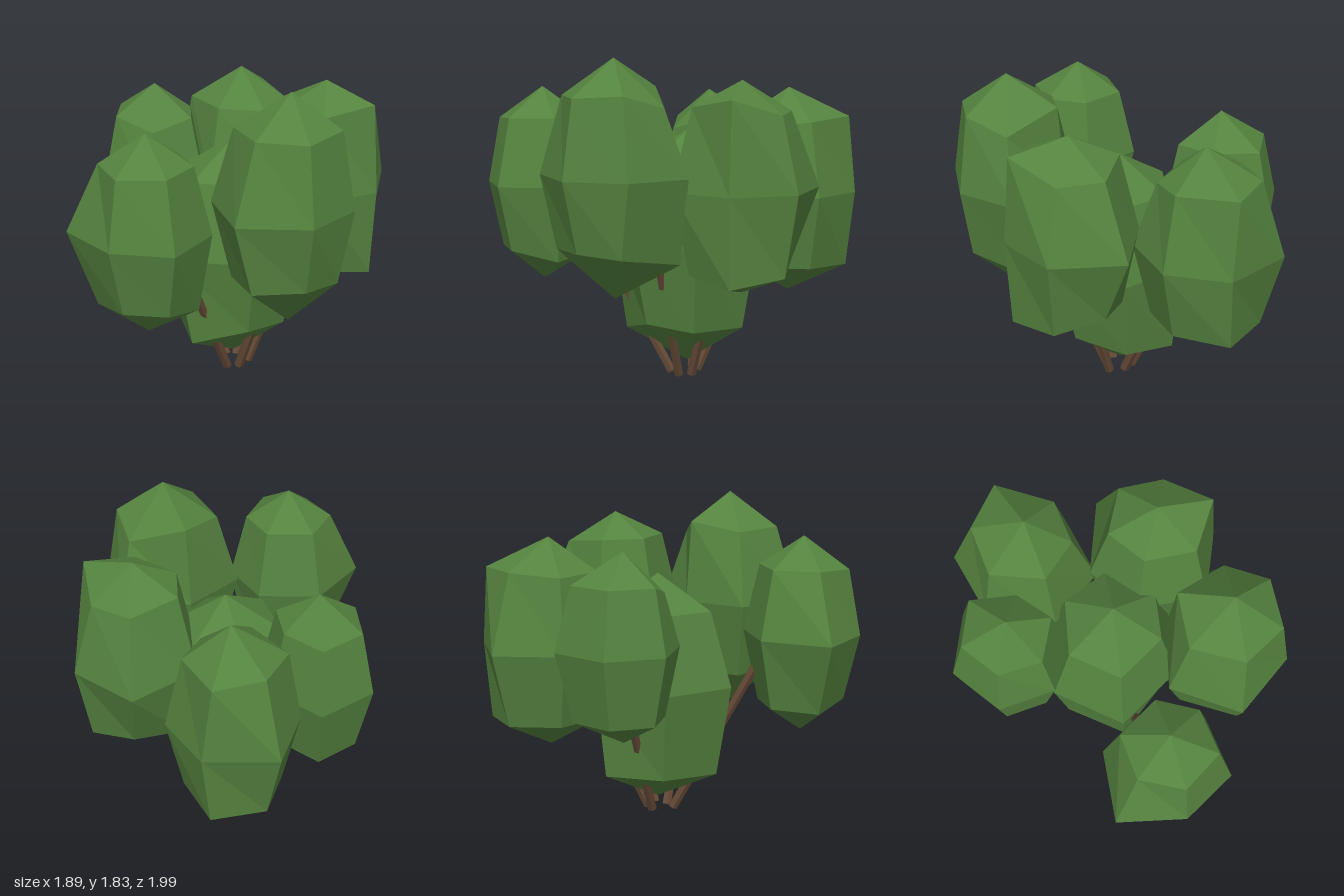
import * as THREE from 'three';

const leafGreen = new THREE.MeshStandardMaterial({ color: 0x55833f, flatShading: true });
leafGreen.name = 'leafGreen';
const barkBrown = new THREE.MeshStandardMaterial({ color: 0x654a37, flatShading: true });
barkBrown.name = 'barkBrown';

// Faceted foliage clump: a six-sided sphere fitted to an irregular outline.
// pole: [x, z]; heights: five levels from top to bottom;
// outline: six [x, z] corners of the widest ring; taper: size of the rings above and below it;
// upper, lower: corners of those two rings pushed out of line, as index: [x, y, z]
function makeClump(name, { pole, heights, outline, taper, upper = {}, lower = {} }) {
  const geometry = new THREE.SphereGeometry(1, 6, 4);
  const position = geometry.attributes.position;
  const size = [0, taper[0], 1, taper[1], 0];
  const moved = [{}, upper, {}, lower, {}];
  for (let i = 0; i < position.count; i++) {
    const ring = Math.floor(i / 7);
    const column = (6 - (i % 7)) % 6;
    const [x, z] = outline[column];
    const point = moved[ring][column] ?? [
      pole[0] + (x - pole[0]) * size[ring],
      heights[ring],
      pole[1] + (z - pole[1]) * size[ring],
    ];
    position.setXYZ(i, ...point);
  }
  geometry.computeVertexNormals();
  const mesh = new THREE.Mesh(geometry, leafGreen);
  mesh.name = name;
  return mesh;
}

// Straight six-sided stem between two points
function makeStem(name, base, tip) {
  const a = new THREE.Vector3(...base);
  const b = new THREE.Vector3(...tip);
  const direction = b.clone().sub(a);
  const mesh = new THREE.Mesh(new THREE.CylinderGeometry(0.025, 0.028, direction.length(), 6), barkBrown);
  mesh.position.copy(a).add(b).multiplyScalar(0.5);
  mesh.quaternion.setFromUnitVectors(new THREE.Vector3(0, 1, 0), direction.normalize());
  mesh.name = name;
  return mesh;
}

export function createModel() {
  const group = new THREE.Group();
  group.name = 'bush';

  // Foliage
  group.add(makeClump('frontRightFoliage', {
    pole: [-0.54, 0.62], heights: [1.65, 1.48, 1.1, 0.7, 0.54], taper: [0.74, 0.74],
    outline: [[-0.62, 0.28], [-0.28, 0.4], [-0.21, 0.71], [-0.45, 0.97], [-0.77, 0.85], [-0.95, 0.51]],
    upper: { 2: [-0.3, 1.48, 0.69], 4: [-0.72, 1.47, 0.8], 5: [-0.78, 1.48, 0.55] },
    lower: { 2: [-0.28, 0.67, 0.69], 3: [-0.47, 0.73, 0.88], 4: [-0.7, 0.73, 0.8], 5: [-0.8, 0.69, 0.55] },
  }));
  group.add(makeClump('frontFoliage', {
    pole: [0.22, 0.64], heights: [1.83, 1.62, 1.2, 0.77, 0.54], taper: [0.72, 0.74],
    outline: [[0.17, 0.3], [0.56, 0.4], [0.54, 0.77], [0.26, 0.99], [-0.13, 0.89], [-0.17, 0.47]],
    upper: { 0: [0.18, 1.67, 0.34], 1: [0.47, 1.57, 0.49], 2: [0.47, 1.64, 0.75], 3: [0.25, 1.625, 0.92],
      4: [-0.01, 1.63, 0.82] },
    lower: { 1: [0.46, 0.73, 0.38], 2: [0.46, 0.79, 0.76], 3: [0.25, 0.81, 0.9], 4: [-0.03, 0.8, 0.85] },
  }));
  group.add(makeClump('leftFoliage', {
    pole: [0.57, 0.05], heights: [1.71, 1.57, 1.12, 0.67, 0.56], taper: [0.72, 0.76],
    outline: [[0.71, -0.38], [0.94, -0.03], [0.8, 0.32], [0.45, 0.43], [0.21, 0.11], [0.3, -0.23]],
    upper: { 0: [0.66, 1.54, -0.22], 1: [0.82, 1.53, -0.02], 2: [0.78, 1.62, 0.29] },
    lower: { 0: [0.67, 0.73, -0.22], 1: [0.86, 0.67, -0.01], 2: [0.78, 0.63, 0.3] },
  }));
  group.add(makeClump('backFoliage', {
    pole: [0.22, -0.58], heights: [1.64, 1.45, 1.03, 0.61, 0.45], taper: [0.73, 0.74],
    outline: [[0.09, -1.0], [0.48, -0.87], [0.57, -0.51], [0.34, -0.21], [-0.03, -0.29], [-0.14, -0.68]],
    upper: { 0: [0.13, 1.47, -0.87], 1: [0.42, 1.47, -0.87], 3: [0.31, 1.42, -0.34], 5: [-0.07, 1.45, -0.66] },
    lower: { 1: [0.43, 0.6, -0.85] },
  }));
  group.add(makeClump('backRightFoliage', {
    pole: [-0.33, -0.42], heights: [1.61, 1.44, 1.08, 0.69, 0.56], taper: [0.76, 0.74],
    outline: [[-0.22, -0.78], [-0.04, -0.49], [-0.09, -0.19], [-0.41, -0.11], [-0.64, -0.34], [-0.56, -0.67]],
    upper: { 3: [-0.38, 1.38, -0.19] },
  }));
  group.add(makeClump('centreFoliage', {
    pole: [0.05, 0.03], heights: [1.41, 1.21, 0.78, 0.27, 0.08], taper: [0.72, 0.78],
    outline: [[0.05, -0.38], [0.4, -0.2], [0.4, 0.23], [0.08, 0.43], [-0.34, 0.28], [-0.34, -0.16]],
    lower: { 0: [0.05, 0.25, -0.32], 1: [0.32, 0.29, -0.16], 2: [0.31, 0.3, 0.18], 3: [0.07, 0.33, 0.33],
      4: [-0.24, 0.25, 0.25] },
  }));

  // Stems, from the ground into each outer clump
  group.add(
    makeStem('frontRightStem', [-0.005, 0.012, 0.1], [-0.41, 1.05, 0.5]),
    makeStem('frontStem', [0.065, 0.007, 0.1], [0.27, 1.0, 0.45]),
    makeStem('leftStem', [0.125, 0.015, 0.055], [0.5, 1.0, 0.085]),
    makeStem('backStem', [0.075, 0.02, -0.02], [0.2, 1.0, -0.48]),
    makeStem('backRightStem', [0.015, 0.02, -0.03], [-0.3, 1.0, -0.44]),
  );
  return group;
}
